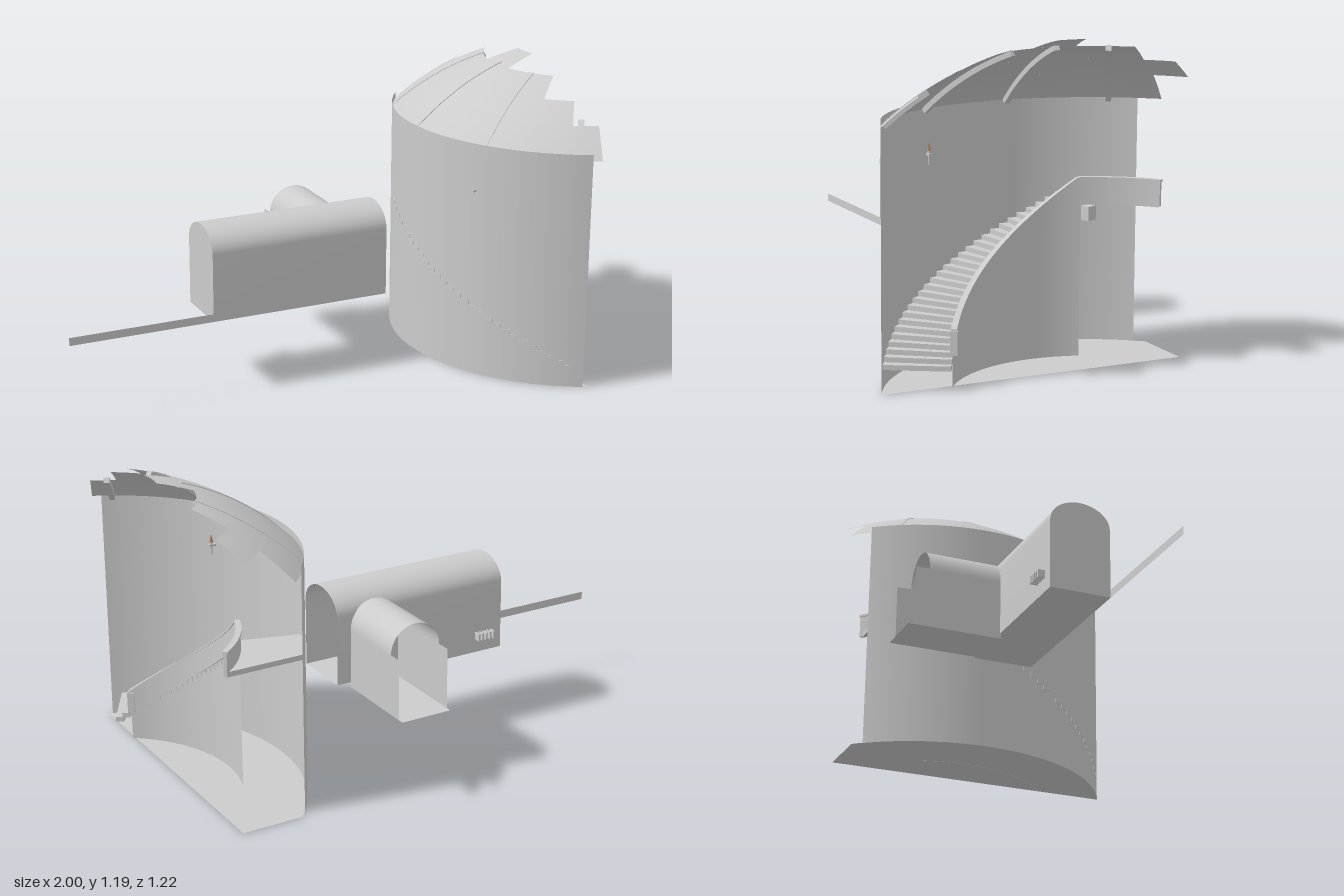
import * as THREE from 'three';
import { toCreasedNormals } from 'three/addons/utils/BufferGeometryUtils.js';

const grey = new THREE.MeshStandardMaterial({ color: 0xcccccc, side: THREE.DoubleSide });
const brown = new THREE.MeshStandardMaterial({ color: 0xb08458, side: THREE.DoubleSide });

// Tower axis; angle 0 points to -x, positive angles turn towards +z
const CX = 1.24, CZ = -0.08, R = 0.75;
const polar = (r, deg, y) => {
  const t = THREE.MathUtils.degToRad(deg);
  return [CX - r * Math.cos(t), y, CZ + r * Math.sin(t)];
};
const lerp = THREE.MathUtils.lerp;

function add(parent, name, geometry, material = grey) {
  const mesh = new THREE.Mesh(geometry, material);
  mesh.name = name;
  parent.add(mesh);
  return mesh;
}

function box(parent, name, w, h, d, x, y, z, material = grey) {
  const mesh = add(parent, name, new THREE.BoxGeometry(w, h, d), material);
  mesh.position.set(x, y, z);
  return mesh;
}

// Surface through a list of cross-sections, each an equally long list of points
function loft(sections, { closed = false, caps = false } = {}) {
  const m = sections[0].length, index = [];
  const across = closed ? m : m - 1;
  for (let i = 0; i < sections.length - 1; i++) {
    for (let j = 0; j < across; j++) {
      const a = i * m + j, b = i * m + (j + 1) % m;
      index.push(a, b, a + m, b, b + m, a + m);
    }
  }
  if (caps) {
    const e = (sections.length - 1) * m;
    for (let j = 1; j < m - 1; j++) index.push(0, j + 1, j, e, e + j, e + j + 1);
  }
  const g = new THREE.BufferGeometry();
  g.setAttribute('position', new THREE.Float32BufferAttribute(sections.flat(2), 3));
  g.setIndex(index);
  return toCreasedNormals(g, 0.5);
}

const series = (n, f) => Array.from({ length: n + 1 }, (_, i) => f(i / n));

// Solid block following an arc; low and high give heights by angle
function arcBlock(r0, r1, t0, t1, low, high, n) {
  return loft(series(n, u => {
    const t = lerp(t0, t1, u);
    return [polar(r0, t, low(t)), polar(r1, t, low(t)), polar(r1, t, high(t)), polar(r0, t, high(t))];
  }), { closed: true, caps: true });
}

// Flat horizontal plate from [x, z] corners
function plate(corners, y) {
  const g = new THREE.ShapeGeometry(new THREE.Shape(corners.map(([x, z]) => new THREE.Vector2(x, -z))));
  return g.rotateX(-Math.PI / 2).translate(0, y, 0);
}

// Half section of a barrel roof: [offset, y] points
const archPoints = (half, spring, rise) =>
  series(24, u => [-half * Math.cos(u * Math.PI), spring + rise * Math.sin(u * Math.PI)]);

const LANDING = 0.575;
const treadY = t => Math.min(LANDING, 0.08 + (59.6 - t) * 0.00635);
const domeY = r => 0.129 + Math.sqrt(1.188 - r * r);

function buildTower(group) {
  // Curved outer wall
  add(group, 'towerWall', loft(series(72, u => {
    const t = lerp(-38.2, 63.3, u);
    return [polar(R, t, 0), polar(R, t, 0.945)];
  })));

  // Ground floor, a circle segment cut straight at the open side
  const rim = series(48, u => polar(R, lerp(-41.8, 64.7, u), 0)).map(p => [p[0], p[2]]);
  add(group, 'towerFloor', plate([...rim, [0.92, -0.58]], 0.001));

  // Broken dome: bands of different length make the stepped edge
  const dome = new THREE.Group();
  dome.name = 'brokenDome';
  const bands = [[0.75, 0.624, -45, 66], [0.624, 0.514, -57, 57], [0.514, 0.38, -44, 44], [0.38, 0.25, -12.7, 12.7]];
  for (const [r0, r1, t0, t1] of bands) {
    add(dome, 'domeBand', loft(series(48, u => series(6, v => {
      const r = lerp(r0, r1, v);
      return polar(r, lerp(t0, t1, u), domeY(r));
    }))));
  }
  // Ribs under the dome
  for (const [deg, top] of [[-30, 0.38], [0, 0.36], [30, 0.38], [60, 0.6]]) {
    const half = 0.011;
    add(dome, 'domeRib', loft(series(16, u => {
      const r = lerp(0.748, top, u);
      const d = half / r * 180 / Math.PI;
      const y = domeY(r) + 0.003;
      return [polar(r, deg - d, y), polar(r, deg + d, y), polar(r - 0.012, deg + d, y - 0.018), polar(r - 0.012, deg - d, y - 0.018)];
    }), { closed: true, caps: true }));
  }
  group.add(dome);

  // Wall torch
  const torch = new THREE.Group();
  torch.name = 'wallTorch';
  box(torch, 'torchBracket', 0.04, 0.008, 0.008, -0.01, 0.012, 0);
  const handle = add(torch, 'torchHandle', new THREE.CylinderGeometry(0.005, 0.003, 0.055, 8));
  const flame = add(torch, 'torchHead', new THREE.ConeGeometry(0.008, 0.03, 8), brown);
  flame.position.y = 0.042;
  handle.position.y = 0.002;
  torch.position.set(...polar(0.735, 28.7, 0.745));
  group.add(torch);
}

function buildStairs(group) {
  const stairs = new THREE.Group();
  stairs.name = 'spiralStairs';
  // Treads
  const count = 28, turn = 78 / count;
  for (let i = 0; i < count; i++) {
    const t = 60.2 - i * turn, y = treadY(t) + 0.014;
    add(stairs, 'tread', arcBlock(0.515, 0.752, t, t - turn * 1.25, () => y - 0.018, () => y, 2));
  }
  // Wall below the inner edge
  add(stairs, 'innerWall', loft(series(48, u => {
    const t = lerp(53.3, -19.7, u);
    return [polar(0.518, t, 0), polar(0.518, t, treadY(t))];
  })));
  // Parapet with cap, continuing round the landing
  add(stairs, 'parapet', arcBlock(0.506, 0.52, 53.3, -52, t => treadY(t) - 0.008, t => treadY(t) + 0.082, 80));
  add(stairs, 'parapetCap', arcBlock(0.502, 0.524, 53.8, -52.3, t => treadY(t) + 0.08, t => treadY(t) + 0.09, 80));
  add(stairs, 'newelPost', arcBlock(0.5, 0.526, 54.5, 51.5, () => 0.115, () => 0.2, 2));

  // Landing slab between parapet and outer wall
  const inner = series(16, u => polar(0.512, lerp(-18.4, -51.4, u), 0));
  const outer = series(12, u => polar(0.748, lerp(-32.2, -18.4, u), 0));
  const slab = new THREE.ExtrudeGeometry(
    new THREE.Shape([...inner, ...outer].map(p => new THREE.Vector2(p[0], -p[2]))),
    { depth: 0.02, bevelEnabled: false });
  add(stairs, 'landing', slab.rotateX(-Math.PI / 2).translate(0, 0.563, 0));
  const bracket = box(stairs, 'landingBracket', 0.035, 0.052, 0.04, 0.785, 0.537, -0.27);
  bracket.rotation.y = 0.35;
  group.add(stairs);
}

function buildCorridor(group) {
  const corridor = new THREE.Group();
  corridor.name = 'corridor';
  const x0 = -0.42, x1 = 0.32, zc = -0.089, half = 0.121, floor = 0.293;
  // Walls, barrel roof and floor in one section
  const section = [[-half, floor], ...archPoints(half, 0.565, 0.09), [half, floor]];
  add(corridor, 'corridorShell', loft([x0, x1].map(x => section.map(([o, y]) => [x, y, zc + o])), { closed: true }));
  // End wall
  const end = new THREE.ShapeGeometry(new THREE.Shape(section.map(([o, y]) => new THREE.Vector2(o, y))));
  add(corridor, 'corridorEndWall', end.rotateY(-Math.PI / 2).translate(x0, 0, zc));
  // Long thin strip running on from the front wall
  add(corridor, 'wallStrip', new THREE.PlaneGeometry(0.58, 0.032).translate(-0.71, 0.309, zc + half));
  // Row of fins on the back wall
  for (let i = 0; i < 5; i++) {
    box(corridor, 'ventFin', 0.007, 0.03, 0.03, -0.372 + i * 0.017, 0.362, -0.224);
  }
  group.add(corridor);
}

function buildAnnex(group) {
  const annex = new THREE.Group();
  annex.name = 'sideAnnex';
  const xc = 0.157, half = 0.104, floor = 0.272, spring = 0.51, zIn = -0.205;
  const arch = archPoints(half, spring, half);
  add(annex, 'annexRoof', loft([-0.5, zIn].map(z => arch.map(([o, y]) => [xc + o, y, z]))));
  // Side walls reach past the roof, the floor a little further still
  for (const s of [-1, 1]) {
    const wall = new THREE.PlaneGeometry(zIn + 0.557, spring - floor).rotateY(s * Math.PI / 2);
    add(annex, 'annexWall', wall.translate(xc + s * half, (spring + floor) / 2, (zIn - 0.557) / 2));
  }
  add(annex, 'annexFloor', plate([[xc - half, -0.58], [xc + half, -0.58], [xc + half, zIn], [xc - half, zIn]], floor));
  group.add(annex);
}

export function createModel() {
  const group = new THREE.Group();
  group.name = 'ruinedTower';
  buildTower(group);
  buildStairs(group);
  buildCorridor(group);
  buildAnnex(group);
  return group;
}
